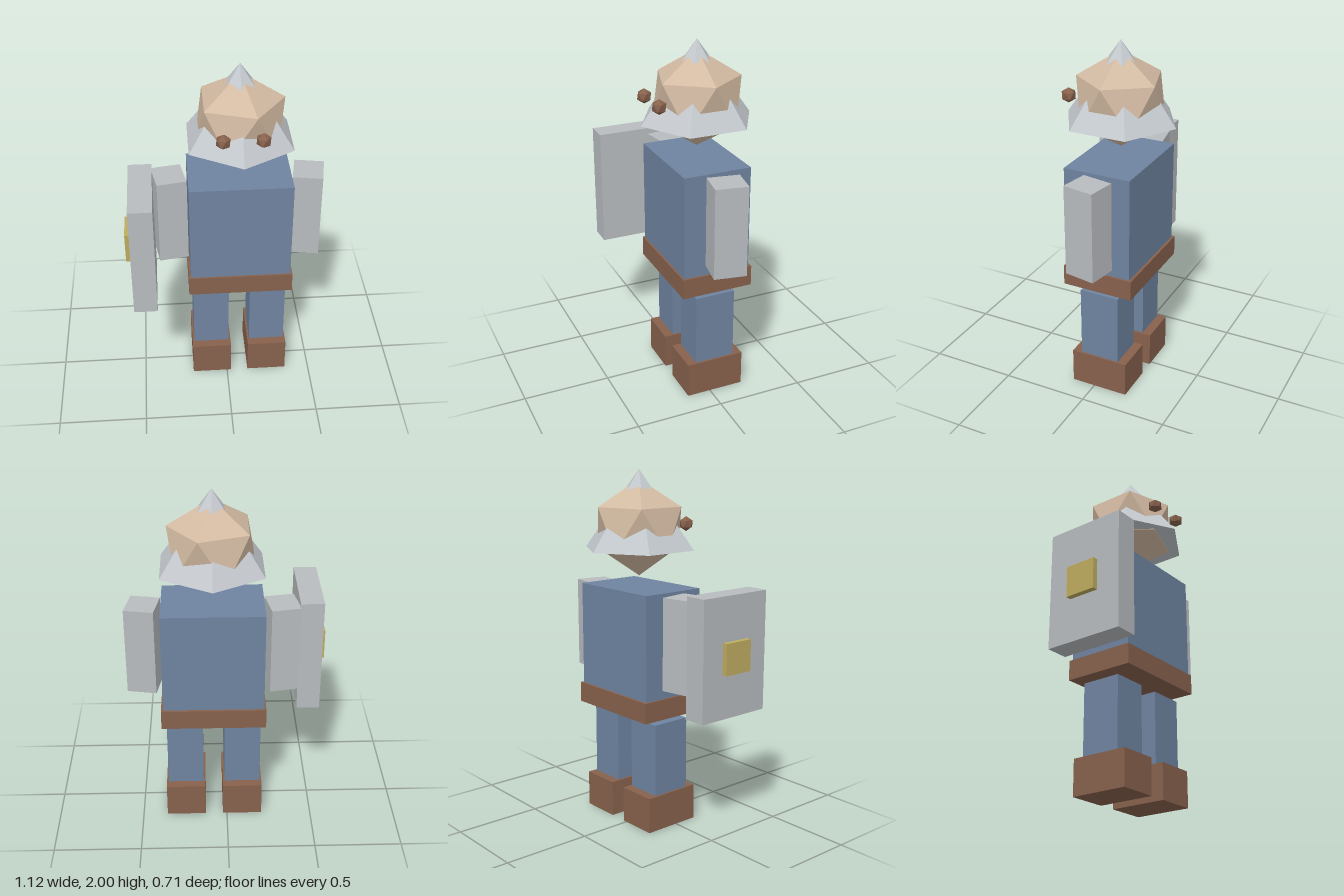
import * as THREE from 'three';

const paint = (name, color) => {
  const m = new THREE.MeshStandardMaterial({ color });
  m.name = name;
  m.flatShading = true;
  return m;
};

export function createModel() {
  const blue = paint('blue cloth', 0x6f84a0);
  const brown = paint('brown leather', 0x87614c);
  const grey = paint('grey metal', 0xb8bcbf);
  const silver = paint('silver helmet', 0xc4c9ce);
  const skin = paint('skin', 0xd2baa2);
  const gold = paint('gold', 0xbeac60);

  const model = new THREE.Group();
  model.name = 'shieldBearer';
  const cx = 0.075, cz = -0.033; // body axis

  const add = (name, geometry, material, x, y, z) => {
    const mesh = new THREE.Mesh(geometry, material);
    mesh.name = name;
    mesh.position.set(x, y, z);
    model.add(mesh);
    return mesh;
  };
  // Box given by its extents on each axis
  const box = (name, material, [x0, x1], [y0, y1], [z0, z1]) =>
    add(name, new THREE.BoxGeometry(x1 - x0, y1 - y0, z1 - z0), material,
      (x0 + x1) / 2, (y0 + y1) / 2, (z0 + z1) / 2);
  // Icosahedron standing on one corner
  const gem = (r) => new THREE.IcosahedronGeometry(r, 0)
    .rotateZ(-Math.atan(2 / (1 + Math.sqrt(5))));

  // Torso and belt
  box('torso', blue, [-0.208, 0.358], [0.7, 1.355], [-0.223, 0.162]);
  box('belt', brown, [-0.22, 0.37], [0.653, 0.768], [-0.238, 0.173]);

  // Legs, boots, arms and eyes, mirrored about the body axis
  for (const [side, s] of [['left', 1], ['right', -1]]) {
    const lx = cx + s * 0.166;
    box(side + 'Leg', blue, [lx - 0.104, lx + 0.104], [0.2, 0.62], [-0.147, 0.084]);
    box(side + 'Boot', brown, [lx - 0.115, lx + 0.115], [0, 0.205], [-0.2, 0.137]);
    const arm = add(side + 'Arm', new THREE.BoxGeometry(0.166, 0.513, 0.18), grey,
      cx + s * 0.386, 1.085, -0.035);
    arm.rotation.y = -s * THREE.MathUtils.degToRad(10);
    add(side + 'Eye', gem(0.042), brown, cx + s * 0.103, 1.693, 0.223);
  }

  // Shield with its boss
  box('shield', grey, [-0.531, -0.401], [0.698, 1.368], [-0.11, 0.351]);
  box('shieldBoss', gold, [-0.562, -0.531], [0.945, 1.121], [0.031, 0.21]);

  // Head pushing through a six-sided helmet cone
  add('head', gem(0.267), skin, cx + 0.001, 1.68, cz - 0.002);
  add('helmet', new THREE.ConeGeometry(0.32, 0.435, 6), silver, cx + 0.001, 1.7825, cz - 0.001);

  return model;
}
